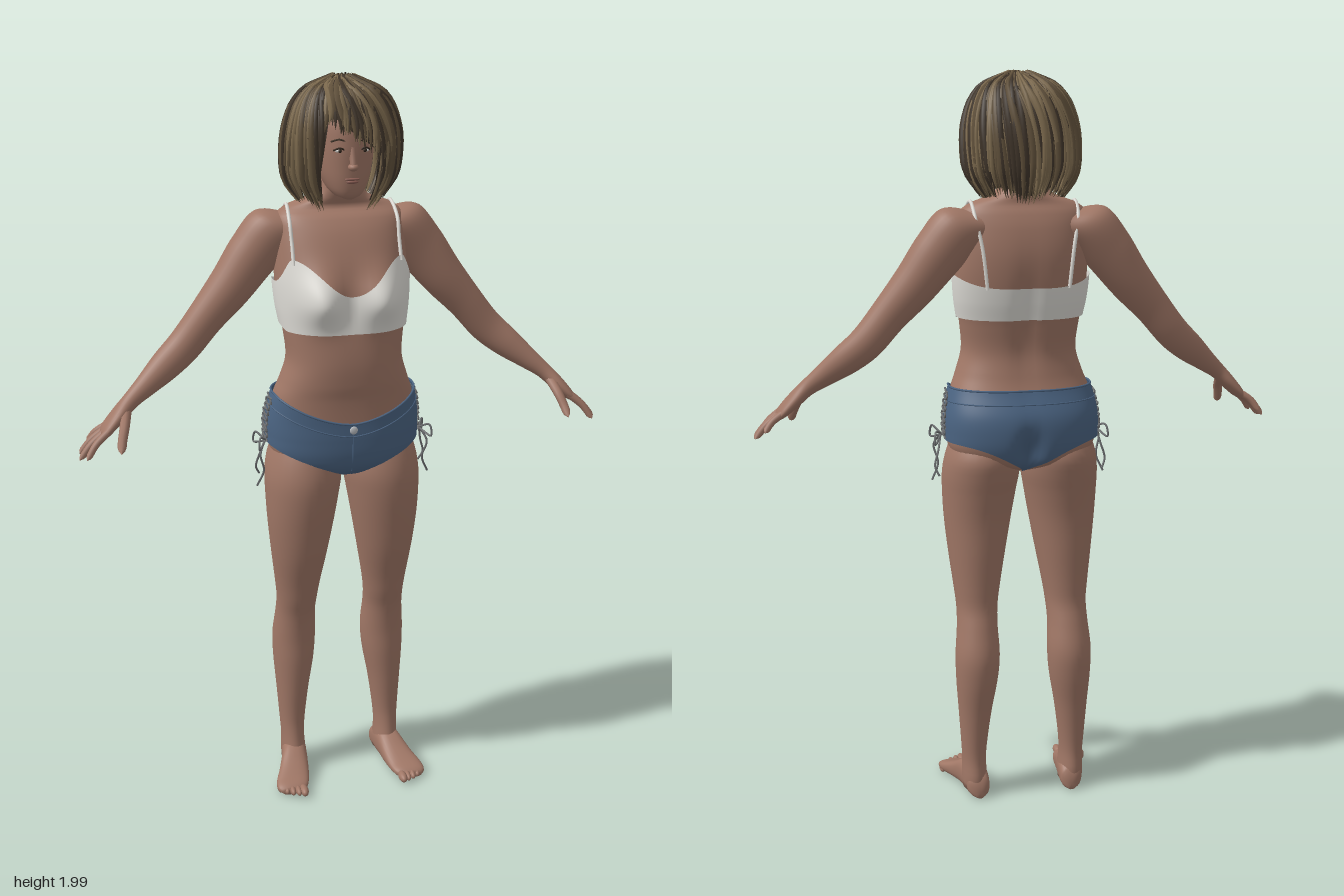
import * as THREE from 'three';
import { mergeGeometries } from 'three/addons/utils/BufferGeometryUtils.js';

const mat = (name, color, side = THREE.FrontSide) => new THREE.MeshStandardMaterial({ name, color, side });
const V = (p) => new THREE.Vector3(...p);
const mix = (a, b, t) => a + (b - a) * t;
const bell = (d, w) => Math.exp(-((d / w) ** 2));
const pw = (c, n) => Math.sign(c) * Math.abs(c) ** (2 / n);
const step = THREE.MathUtils.smoothstep;

// Smooth interpolation of rows, keyed on their first column
function sample(rows, k) {
  let i = 0;
  while (i < rows.length - 2 && k > rows[i + 1][0]) i++;
  const A = rows[i], B = rows[i + 1], P = rows[Math.max(i - 1, 0)], N = rows[Math.min(i + 2, rows.length - 1)];
  const h = B[0] - A[0], t = Math.min(1, Math.max(0, (k - A[0]) / h)), t2 = t * t, t3 = t2 * t;
  return A.map((a, c) => {
    const ma = (B[c] - P[c]) / (B[0] - P[0]) * h, mb = (N[c] - A[c]) / (N[0] - A[0]) * h;
    return (2 * t3 - 3 * t2 + 1) * a + (t3 - 2 * t2 + t) * ma + (3 * t2 - 2 * t3) * B[c] + (t3 - t2) * mb;
  });
}

// Closed-around surface f(angle, v), optionally capped at its ends, always facing out
function skinOver(f, nu, nv, capLow = false, capHigh = false) {
  const pos = [], idx = [];
  for (let j = 0; j <= nv; j++) for (let i = 0; i < nu; i++) pos.push(...f(i / nu * Math.PI * 2, j / nv));
  const tri = (a, b, c) => idx.push(a, b, c);
  for (let j = 0; j < nv; j++) for (let i = 0; i < nu; i++) {
    const a = j * nu + i, b = j * nu + (i + 1) % nu;
    tri(a, a + nu, b); tri(b, a + nu, b + nu);
  }
  for (const [on, j] of [[capLow, 0], [capHigh, nv]]) if (on) {
    const c = [0, 0, 0], m = pos.length / 3;
    for (let i = 0; i < nu; i++) for (let k = 0; k < 3; k++) c[k] += pos[(j * nu + i) * 3 + k] / nu;
    pos.push(...c);
    for (let i = 0; i < nu; i++) {
      const a = j * nu + i, b = j * nu + (i + 1) % nu;
      j ? tri(b, a, m) : tri(a, b, m);
    }
  }
  const p = (i) => V(pos.slice(i * 3, i * 3 + 3));
  const mid = p(0).add(p(nu >> 1)).multiplyScalar(0.5);
  let vol = 0;
  for (let i = 0; i < idx.length; i += 3) {
    const [a, b, c] = [0, 1, 2].map((k) => p(idx[i + k]).sub(mid));
    vol += a.dot(b.cross(c));
  }
  if (vol < 0) idx.reverse();
  const g = new THREE.BufferGeometry();
  g.setAttribute('position', new THREE.Float32BufferAttribute(pos, 3));
  g.setIndex(idx);
  g.computeVertexNormals();
  return g;
}
const loft = (rows, ring, nu = 28, nv = 48) =>
  skinOver((a, v) => ring(sample(rows, mix(rows[0][0], rows.at(-1)[0], v)), a), nu, nv, true, true);

// Tube whose radius follows width(t)
function tube(points, r, width = () => 1, seg = 12, sides = 6, closed = false) {
  const curve = new THREE.CatmullRomCurve3(points.map(V), closed);
  const g = new THREE.TubeGeometry(curve, seg, r, sides, closed), p = g.attributes.position, v = new THREE.Vector3();
  for (let i = 0; i < p.count; i++) {
    const t = Math.floor(i / (sides + 1)) / seg, c = curve.getPointAt(t);
    v.fromBufferAttribute(p, i).sub(c).multiplyScalar(width(t)).add(c);
    p.setXYZ(i, v.x, v.y, v.z);
  }
  return g;
}
const fingerWidth = (t) => (t > 0.99 ? 0.02 : t > 0.9 ? 0.6 : 1 - 0.2 * t);

// Ring of half width, front z and back z
const oval = (cx, y, hw, zf, zb, a, n = 2) =>
  [cx + hw * pw(Math.cos(a), n), y, (zf + zb) / 2 + (zf - zb) / 2 * pw(Math.sin(a), n)];

const TORSO = [[0.925, 0.02, 0.01, -0.03], [0.94, 0.1, 0.07, -0.08], [0.965, 0.165, 0.1, -0.122], [1, 0.196, 0.112, -0.142],
  [1.05, 0.202, 0.116, -0.149], [1.1, 0.2, 0.116, -0.143], [1.16, 0.187, 0.119, -0.116], [1.2, 0.172, 0.125, -0.104],
  [1.26, 0.155, 0.128, -0.096], [1.33, 0.16, 0.122, -0.106], [1.4, 0.171, 0.11, -0.122], [1.47, 0.176, 0.1, -0.132],
  [1.53, 0.174, 0.086, -0.133], [1.59, 0.17, 0.062, -0.123], [1.63, 0.166, 0.035, -0.108], [1.652, 0.14, 0.01, -0.095],
  [1.672, 0.085, 0.018, -0.094], [1.7, 0.058, 0.028, -0.085], [1.76, 0.052, 0.035, -0.075]];
function torsoAt(y, a, off = 0) {
  const [, hw, zf, zb] = sample(TORSO, y);
  const p = oval(0, y, hw + off, zf + off, zb - off, a, 2.35), s = Math.sin(a);
  if (s > 0) p[2] += 0.046 * bell(Math.abs(p[0]) - 0.082, 0.056) * bell(y - 1.425, y < 1.425 ? 0.058 : 0.072) * Math.min(1, s * 2);
  else p[2] += 0.04 * bell(p[0], 0.03) * bell(y - 0.99, 0.06) + 0.012 * bell(p[0], 0.03) * bell(y - 1.35, 0.14);
  return p;
}
const torsoPoint = (x, y, front, off) =>
  torsoAt(y, front * Math.acos(Math.min(1, x / sample(TORSO, y)[1]) ** (2.35 / 2)), off);
const garment = (bottom, top, off, nv = 24) => skinOver((a, v) => torsoAt(mix(bottom(a), top(a), v), a, off), 128, nv);

const LEG = [[0.02, 0.138, 0.034, 0, -0.088], [0.05, 0.139, 0.035, 0.015, -0.092], [0.1, 0.14, 0.033, 0.006, -0.086],
  [0.15, 0.14, 0.036, 0, -0.088], [0.25, 0.137, 0.046, 0.004, -0.1], [0.35, 0.132, 0.058, 0.01, -0.117],
  [0.42, 0.13, 0.061, 0.012, -0.12], [0.5, 0.128, 0.056, 0.022, -0.1], [0.55, 0.126, 0.057, 0.037, -0.086],
  [0.6, 0.125, 0.063, 0.05, -0.085], [0.7, 0.122, 0.078, 0.08, -0.09], [0.8, 0.118, 0.092, 0.1, -0.096],
  [0.88, 0.113, 0.101, 0.111, -0.11], [0.93, 0.109, 0.105, 0.112, -0.122], [0.98, 0.106, 0.1, 0.102, -0.128], [1.04, 0.1, 0.085, 0.08, -0.1]];
const FOOT = [[-0.096, 0.132, 0.012, 0.035], [-0.085, 0.133, 0.028, 0.06], [-0.04, 0.138, 0.035, 0.085], [0, 0.144, 0.037, 0.083],
  [0.05, 0.156, 0.043, 0.055], [0.09, 0.168, 0.047, 0.036], [0.12, 0.174, 0.042, 0.026], [0.132, 0.175, 0.03, 0.018]];
// x, y, z, thickness, breadth
const ARM = [[0.1, 1.6, -0.05, 0.045, 0.05], [0.17, 1.588, -0.055, 0.07, 0.066], [0.23, 1.523, -0.055, 0.069, 0.062],
  [0.29, 1.445, -0.05, 0.06, 0.057], [0.355, 1.37, -0.045, 0.05, 0.048], [0.415, 1.298, -0.04, 0.046, 0.043],
  [0.47, 1.25, -0.024, 0.041, 0.039], [0.53, 1.203, 0, 0.029, 0.029], [0.57, 1.172, 0.015, 0.022, 0.026],
  [0.6, 1.143, 0.024, 0.02, 0.037], [0.635, 1.108, 0.031, 0.015, 0.042], [0.648, 1.095, 0.033, 0.009, 0.036]];
const HEAD = [[1.683, 0.012, 0.085, 0.05], [1.692, 0.035, 0.096, 0], [1.72, 0.055, 0.105, -0.05], [1.76, 0.069, 0.11, -0.09],
  [1.82, 0.076, 0.114, -0.11], [1.88, 0.075, 0.108, -0.115], [1.93, 0.055, 0.08, -0.09], [1.955, 0.012, 0.01, -0.02]];
const HAIR = [[1.655, 0.092, 0.055, -0.095], [1.7, 0.126, 0.08, -0.128], [1.75, 0.139, 0.106, -0.144], [1.8, 0.141, 0.128, -0.149],
  [1.86, 0.134, 0.14, -0.144], [1.92, 0.109, 0.126, -0.12], [1.955, 0.077, 0.098, -0.084], [1.98, 0.02, 0.03, -0.022]];
function hairAt(y, a, off = 0) {
  const [, hw, zf, zb] = sample(HAIR, y);
  return oval(0, y, hw + off, zf + off, zb - off, a, 2.1);
}
// Hairline: long all round, with a side-swept fringe over the face
function hairEnd(a) {
  const c = Math.cos(a), open = Math.sin(a) > 0 ? 1 - step(Math.abs(c), 0.48, 0.6) : 0;
  return mix(1.672 + 0.012 * Math.sin(a * 5), 1.842 - 0.1 * c, open);
}

export function createModel() {
  const root = new THREE.Group();
  const skin = mat('skin', 0xa07766), white = mat('off white cloth', 0xdedcd6, THREE.DoubleSide);
  const denim = mat('denim blue', 0x4b6482, THREE.DoubleSide), lace = mat('lace grey', 0x6c6e70), metal = mat('metal', 0xb9bcc0);
  const hairDark = mat('dark hair', 0x40352a, THREE.DoubleSide), hairMid = mat('brown hair', 0x62523c), hairLight = mat('light hair', 0x806d50);
  const lip = mat('lip', 0x8c5f55), dark = mat('eye dark', 0x33281f);
  const add = (name, geo, m, parent = root) => {
    const mesh = new THREE.Mesh(geo, m);
    mesh.name = name;
    parent.add(mesh);
    return mesh;
  };
  const blob = (name, m, pos, size, parent) => {
    const b = add(name, new THREE.SphereGeometry(1, 16, 12), m, parent);
    b.position.set(...pos);
    b.scale.set(...size);
    return b;
  };

  add('torso', skinOver((a, v) => torsoAt(mix(0.925, 1.76, v), a), 64, 110, true, true), skin);
  add('head', loft(HEAD, ([y, hw, zf, zb], a) => oval(0, y, hw, zf, zb, a, 2.2), 36, 36), skin);

  // Top: sweetheart cups in front, a narrow band behind
  const front = (a) => step(Math.sin(a), 0, 0.35);
  const across = (a) => Math.abs(pw(Math.cos(a), 2.35));
  const neckline = (a) => {
    const x = across(a);
    return mix(1.437 + 0.03 * x ** 4, 1.438 + 0.092 * step(x, 0, 0.82) - 0.06 * step(x, 0.8, 1), front(a));
  };
  add('top', garment((a) => 1.342 + 0.01 * (1 - front(a)), neckline, 0.007), white);

  // Shorts: dipped waist, high-cut legs behind
  const waist = (a) => 1.166 - 0.07 * front(a) * (1 - across(a) ** 1.6);
  const hem = (a) => {
    const x = across(a);
    return 0.927 + 0.098 * mix(1 - (1 - x) ** 2.2, x, step(Math.sin(a), -0.3, 0.3));
  };
  add('shorts', garment(hem, waist, 0.008, 32), denim);
  const band = (drop) => Array.from({ length: 64 }, (_, i) => {
    const a = i / 64 * Math.PI * 2;
    return torsoAt(waist(a) - drop, a, 0.008);
  });
  add('waistband edge', tube(band(0), 0.003, undefined, 128, 6, true), denim);
  add('waistband seam', tube(band(0.034), 0.002, undefined, 128, 6, true), denim);
  add('fly seam', tube([1.08, 1.04, 1, 0.96].map((y) => torsoAt(y, Math.PI / 2, 0.008)), 0.002), denim);
  blob('button', metal, torsoAt(1.081, Math.PI / 2, 0.011), [0.011, 0.011, 0.004]);

  // Nose and lips
  blob('nose', skin, [0, 1.768, 0.114], [0.013, 0.01, 0.016]);
  add('nose bridge', tube([[0, 1.825, 0.104], [0, 1.795, 0.111], [0, 1.77, 0.118]], 0.009), skin);
  blob('upper lip', lip, [0, 1.737, 0.105], [0.02, 0.004, 0.006]);
  blob('lower lip', lip, [0, 1.73, 0.103], [0.017, 0.005, 0.007]);

  for (const side of [1, -1]) {
    const half = new THREE.Group();
    half.name = side > 0 ? 'left half' : 'right half';
    half.scale.x = side;
    root.add(half);

    // Limbs
    add('leg', loft(LEG, ([y, cx, hw, zf, zb], a) => oval(cx, y, hw, zf, zb, a), 32, 64), skin, half);
    add('foot', loft(FOOT, ([z, cx, hw, top], a) =>
      [cx + hw * pw(Math.cos(a), 2.5), top * (0.5 + 0.5 * pw(Math.sin(a), 2.5)), z]), skin, half);
    for (let i = 0; i < 5; i++)
      blob('toe', skin, [0.146 + i * 0.0155, 0.013 - i * 0.001, 0.14 - i * i * 0.0018 - i * 0.002],
        [i ? 0.0085 : 0.012, i ? 0.011 : 0.013, i ? 0.022 : 0.025], half);
    add('arm', loft(ARM, ([x, y, z, t, w], a) =>
      [x + 0.68 * t * Math.cos(a), y + 0.73 * t * Math.cos(a), z + w * Math.sin(a)], 28, 72), skin, half);

    // Fingers and thumb
    const fingers = [[0.06, 0.693, 1.043, 0.084], [0.042, 0.71, 1.034, 0.052], [0.022, 0.708, 1.04, 0.02], [0.004, 0.684, 1.062, -0.012]];
    for (const [z, x, y, tz] of fingers)
      add('finger', tube([[0.628, 1.113, z], [mix(0.628, x, 0.55) + 0.004, mix(1.113, y, 0.55) + 0.005, mix(z, tz, 0.5)], [x, y, tz]],
        0.0105, fingerWidth, 14, 8), skin, half);
    add('thumb', tube([[0.582, 1.155, 0.03], [0.593, 1.122, 0.075], [0.603, 1.09, 0.1], [0.608, 1.065, 0.12]], 0.014, fingerWidth, 14, 8), skin, half);

    // Shoulder strap
    add('strap', tube([torsoPoint(0.138, 1.515, 1, 0.006), torsoPoint(0.139, 1.57, 1, 0.004), torsoPoint(0.139, 1.62, 1, 0.005),
      [0.139, 1.656, -0.04], torsoPoint(0.132, 1.62, -1, 0.005), torsoPoint(0.118, 1.54, -1, 0.004), torsoPoint(0.105, 1.435, -1, 0.006)],
    0.005, undefined, 48), white, half);

    // Side lacing with a bow and hanging cords
    const zig = Array.from({ length: 9 }, (_, i) => torsoAt(1.03 + i * 0.0155, i % 2 ? 0.2 : -0.16, 0.012));
    const zag = zig.map((p, i) => torsoAt(p[1], i % 2 ? -0.16 : 0.2, 0.013));
    const cords = [zig, zag,
      [[0.215, 1.035, 0.01], [0.232, 1.0, 0.03], [0.222, 0.95, 0.02], [0.24, 0.905, 0.012]],
      [[0.215, 1.035, 0.01], [0.226, 0.99, -0.012], [0.236, 0.95, -0.02], [0.226, 0.925, -0.03]],
      [[0.215, 1.035, 0.01], [0.235, 1.05, 0.045], [0.238, 1.02, 0.05], [0.215, 1.032, 0.01]],
      [[0.215, 1.035, 0.01], [0.235, 1.045, -0.03], [0.238, 1.015, -0.04], [0.215, 1.032, 0.01]]];
    for (const c of cords) add('lace', tube(c, 0.003, undefined, 36, 5), lace, half);

    // Eye and brow
    blob('eye', white, [0.032, 1.808, 0.1], [0.012, 0.005, 0.008], half);
    blob('iris', dark, [0.032, 1.808, 0.106], [0.005, 0.005, 0.004], half);
    add('eyelid', tube([[0.017, 1.808, 0.107], [0.032, 1.815, 0.109], [0.047, 1.809, 0.1]], 0.0025), dark, half);
    add('brow', tube([[0.016, 1.831, 0.109], [0.034, 1.836, 0.106], [0.052, 1.83, 0.095]], 0.0025), hairDark, half);
  }

  // Hair: a dark underlayer, then swirling tapered locks from the crown
  add('hair underlayer', skinOver((a, v) => hairAt(mix(hairEnd(a) + 0.01, 1.98, 1 - (1 - v) ** 1.6), a, -0.007), 96, 30, false, true), hairDark);
  let seed = 7;
  const rnd = () => (seed = (seed * 16807) % 2147483647) / 2147483647;
  const locks = [[], [], []];
  const N = 270;
  for (let i = 0; i < N; i++) {
    const a = (i + rnd()) / N * Math.PI * 2, end = hairEnd(a) + 0.022 * rnd() - 0.016;
    const off = 0.016 * rnd() - 0.006, curl = (rnd() - 0.5) * 0.3, twist = 0.35 + 0.4 * rnd(), phase = rnd() * 3;
    const pts = Array.from({ length: 9 }, (_, k) => {
      const t = k / 8;
      return hairAt(mix(1.975 + 0.008 * rnd(), end, t ** 1.7), a + twist * (1 - t) ** 2 + curl * Math.sin(t * 5 + phase) * t * (1.2 - t), off);
    });
    const g = tube(pts, 0.005 + 0.005 * rnd(), (t) => Math.max(0.03, Math.min(1, 0.35 + 2 * t, (1 - t) * 5)), 18, 5);
    const pick = rnd();
    locks[pick < 0.28 ? 0 : pick < 0.72 ? 1 : 2].push(g);
  }
  [hairDark, hairMid, hairLight].forEach((m, i) => add('hair locks', mergeGeometries(locks[i]), m));
  return root;
}
